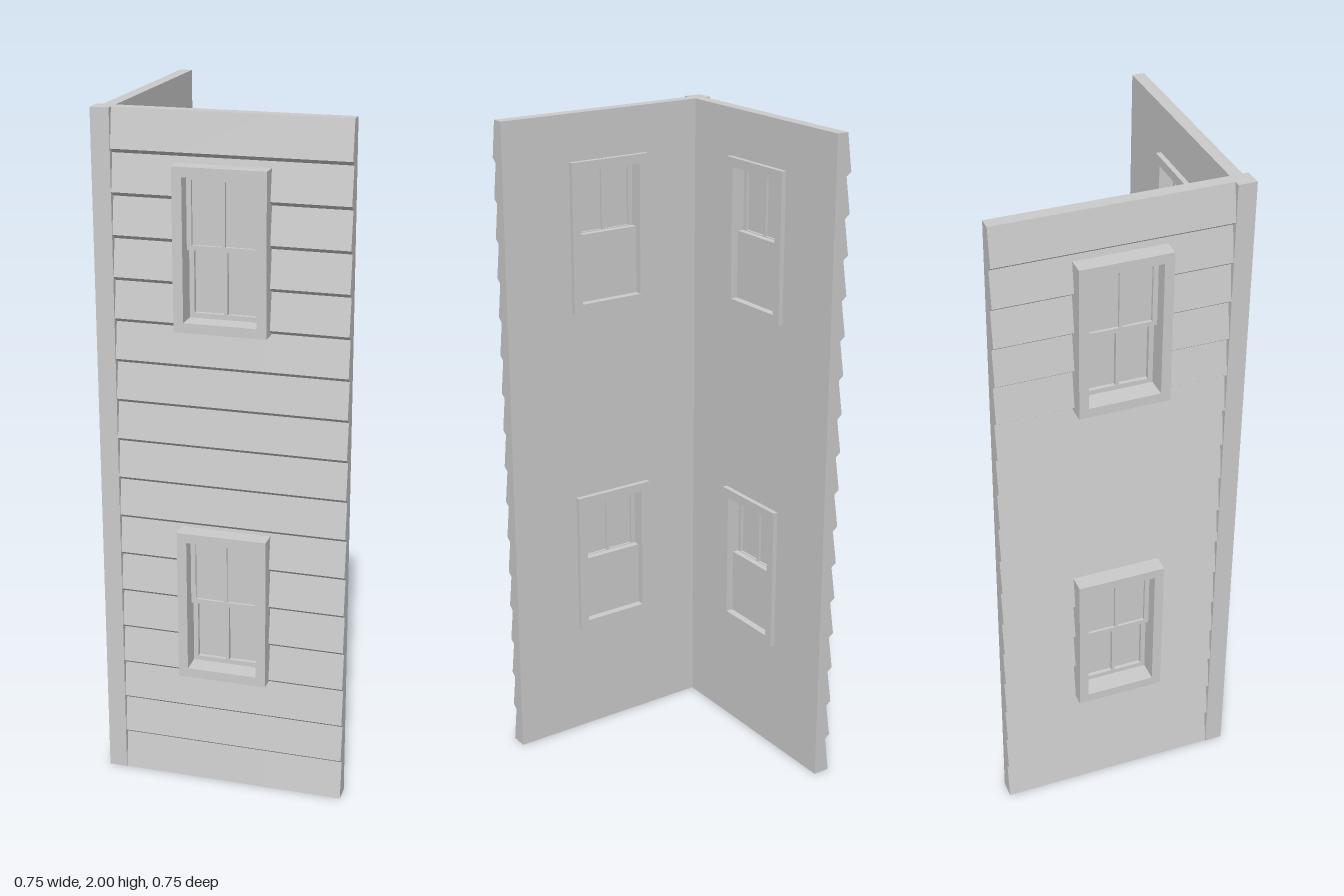
import * as THREE from 'three';

const material = new THREE.MeshStandardMaterial({ color: 0xcccccc, flatShading: true });
const BOARDS = 17, H = 2 / BOARDS;
const INNER = 0.288, THIN = 0.324, THICK = 0.34; // wall depths
const START = -0.289, END = 0.377; // wall extent along its length
const WIN_X = 0.026, WIN_W = 0.262, WIN_H = 0.455; // window casing
const WIN_Y = [0.355, 1.405]; // casing bottoms
const TRIM = 0.028;

function add(group, geometry, name) {
  const mesh = new THREE.Mesh(geometry, material);
  mesh.name = name;
  group.add(mesh);
  return mesh;
}

function rect(Type, x, y, w, h) {
  return new Type([[x, y], [x + w, y], [x + w, y + h], [x, y + h]].map(p => new THREE.Vector2(...p)));
}

// Rectangular frame with rectangular holes, spanning depth z0..z1
function frame(group, name, outer, holes, z0, z1) {
  const shape = rect(THREE.Shape, ...outer);
  holes.forEach(h => shape.holes.push(rect(THREE.Path, ...h)));
  const geometry = new THREE.ExtrudeGeometry(shape, { depth: z1 - z0, bevelEnabled: false });
  add(group, geometry.translate(0, 0, z0), name);
}

function box(group, name, x, y, w, h, z0, z1) {
  add(group, new THREE.BoxGeometry(w, h, z1 - z0).translate(x + w / 2, y + h / 2, (z0 + z1) / 2), name);
}

// Outline of the lapped boards: each leans out towards its lower edge
const lap = [[THICK, 0]];
for (let i = 1; i < BOARDS; i++) lap.push([THIN, i * H - 0.004], [THICK, i * H + 0.008]);
lap.push([THIN, 2]);

function lapDepth(y) {
  const i = Math.max(1, lap.findIndex(p => p[1] >= y));
  const [a, b] = [lap[i - 1], lap[i]];
  return a[0] + (b[0] - a[0]) * (y - a[1]) / (b[1] - a[1]);
}

// One block of clapboard wall between x0..x1 and y0..y1
function siding(group, x0, x1, y0, y1) {
  const points = [[INNER, y0], [lapDepth(y0), y0],
    ...lap.filter(p => p[1] > y0 && p[1] < y1), [lapDepth(y1), y1], [INNER, y1]];
  const shape = new THREE.Shape(points.map(p => new THREE.Vector2(...p)));
  const geometry = new THREE.ExtrudeGeometry(shape, { depth: x1 - x0, bevelEnabled: false });
  add(group, geometry.rotateY(-Math.PI / 2).translate(x1, 0, 0), 'siding');
}

// Sash with two panes side by side
function sash(group, name, x, y, w, h, z0, z1, g0, g1) {
  const rail = 0.014, bar = 0.01, pane = (w - 2 * rail - bar) / 2;
  const holes = [0, 1].map(i => [x + rail + i * (pane + bar), y + rail, pane, h - 2 * rail]);
  frame(group, name, [x, y, w, h], holes, z0, z1);
  holes.forEach(([px, py, pw, ph]) => box(group, name + 'Glass', px, py, pw, ph, g0, g1));
}

function createWindow(cx, y) {
  const group = new THREE.Group();
  group.name = 'window';
  const x = cx - WIN_W / 2;
  const ox = x + TRIM, oy = y + TRIM, ow = WIN_W - 2 * TRIM, oh = WIN_H - 2 * TRIM;
  frame(group, 'casing', [x, y, WIN_W, WIN_H], [[ox, oy, ow, oh]], 0.273, 0.376);
  // Upper sash sits outside, lower sash inside
  sash(group, 'upperSash', ox, oy + oh / 2 - 0.006, ow, oh / 2 + 0.006, 0.316, 0.336, 0.324, 0.328);
  sash(group, 'lowerSash', ox, oy, ow, oh / 2 + 0.006, 0.296, 0.316, 0.296, 0.304);
  return group;
}

// Wall facing +z; side = -1 mirrors its layout left to right
function createWall(name, side) {
  const group = new THREE.Group();
  group.name = name;
  const span = (a, b, y0, y1) => siding(group, Math.min(side * a, side * b), Math.max(side * a, side * b), y0, y1);
  const edge = WIN_W / 2 - TRIM / 2;
  span(START, WIN_X - edge, 0, 2);
  span(WIN_X + edge, END, 0, 2);
  // Siding below, between and above the windows
  let bottom = 0;
  for (const y of [...WIN_Y, null]) {
    span(WIN_X - edge, WIN_X + edge, bottom, y === null ? 2 : y + TRIM / 2);
    if (y !== null) {
      bottom = y + WIN_H - TRIM / 2;
      group.add(createWindow(side * WIN_X, y));
    }
  }
  return group;
}

export function createModel() {
  const model = new THREE.Group();
  model.name = 'houseCorner';
  model.add(createWall('frontWall', 1));
  const sideWall = createWall('sideWall', -1);
  sideWall.rotation.y = -Math.PI / 2;
  model.add(sideWall);
  // Square post joining the two walls
  box(model, 'cornerPost', -0.342, 0, 0.054, 2, INNER, 0.342);
  return model;
}
